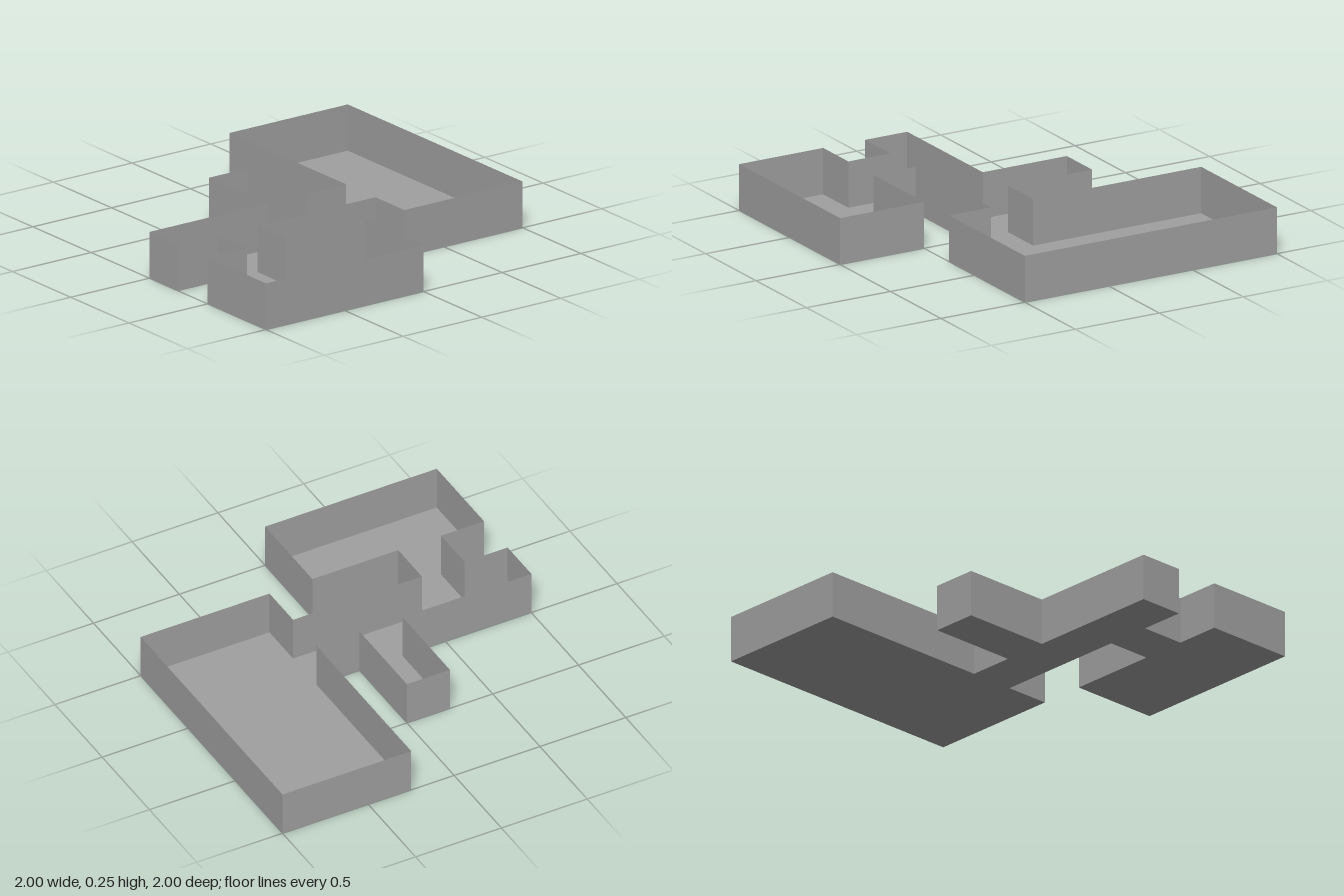
import * as THREE from 'three';

const HEIGHT = 0.25;

// Floor plan outline as [x, z] corners: large room, corridor, side alcove, small room
const PLAN = [
  [-1, -1], [0.5, -1], [0.5, -0.25], [0.25, -0.25],
  [0.25, 0.5], [0.5, 0.5], [0.5, 0], [1, 0], [1, 1], [0.5, 1],
  [0.5, 0.75], [0.25, 0.75], [0.25, 1], [0, 1],
  [0, 0.25], [-0.5, 0.25], [-0.5, 0], [0, 0],
  [0, -0.25], [-1, -0.25],
];

export function createModel() {
  const model = new THREE.Group();
  model.name = 'openRooms';
  const stone = new THREE.MeshStandardMaterial({ color: 0xa0a0a0, side: THREE.DoubleSide });
  stone.name = 'grey stone';

  // One flat floor under all the rooms
  const outline = new THREE.Shape(PLAN.map(([x, z]) => new THREE.Vector2(x, -z)));
  const floor = new THREE.Mesh(new THREE.ShapeGeometry(outline).rotateX(-Math.PI / 2), stone);
  floor.name = 'floor';
  model.add(floor);

  // A thin upright wall along every edge of the plan, facing outwards
  const walls = new THREE.Group();
  walls.name = 'walls';
  PLAN.forEach(([x0, z0], i) => {
    const [x1, z1] = PLAN[(i + 1) % PLAN.length];
    const dx = x1 - x0, dz = z1 - z0;
    const wall = new THREE.Mesh(new THREE.PlaneGeometry(Math.hypot(dx, dz), HEIGHT), stone);
    wall.name = `wall${i + 1}`;
    wall.position.set((x0 + x1) / 2, HEIGHT / 2, (z0 + z1) / 2);
    wall.rotation.y = Math.atan2(dz, -dx);
    walls.add(wall);
  });
  model.add(walls);
  return model;
}
